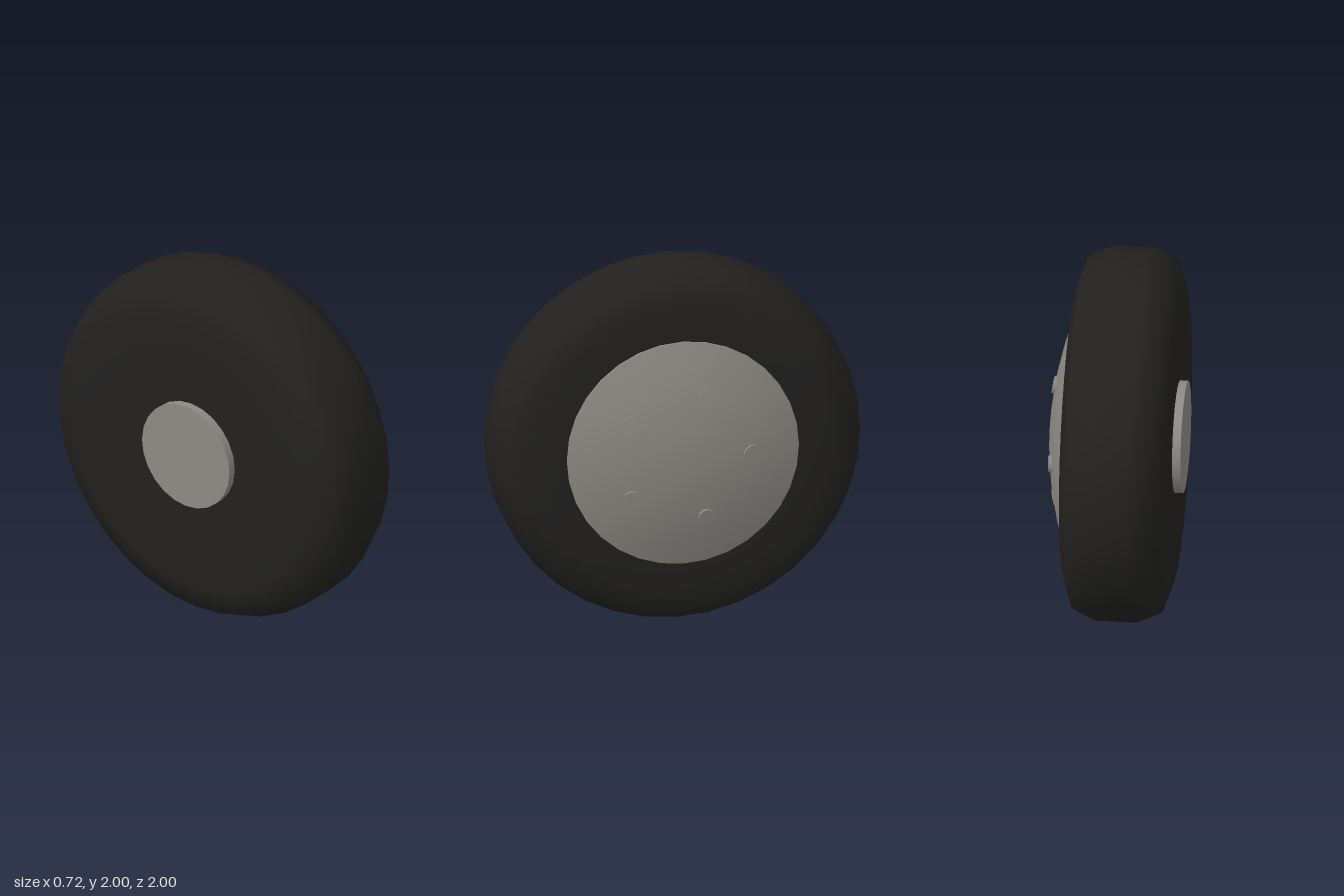
import * as THREE from 'three';
import { toCreasedNormals } from 'three/addons/utils/BufferGeometryUtils.js';

const rubber = new THREE.MeshStandardMaterial({ color: 0x222120 });
const metal = new THREE.MeshStandardMaterial({ color: 0x8c8a84 });

// Lathe around the x axis; points are [radius, x] with x rising
function turned(name, points, segments, material, crease) {
  let geo = new THREE.LatheGeometry(points.map(([r, x]) => new THREE.Vector2(r, x)), segments);
  geo.rotateZ(-Math.PI / 2);
  if (crease) geo = toCreasedNormals(geo, crease);
  const mesh = new THREE.Mesh(geo, material);
  mesh.name = name;
  return mesh;
}

export function createModel() {
  const wheel = new THREE.Group();
  wheel.name = 'wheel';
  const axle = new THREE.Group();
  axle.name = 'wheelAssembly';
  axle.position.y = 1;
  wheel.add(axle);

  // Tyre: half profile mirrored about its mid-plane
  const mid = -0.0425;
  const half = [[0, 0.2775], [0.6, 0.2775], [0.81, 0.2775], [0.945, 0.233], [1, 0.11]];
  const profile = [
    ...half.map(([r, d]) => [r, mid - d]),
    ...half.slice().reverse().map(([r, d]) => [r, mid + d]),
  ];
  axle.add(turned('tyre', profile, 36, rubber));

  // Domed hub cover with a thin straight rim
  const domeRadius = 1.86, domeTop = 0.357;
  const domeX = (r) => domeTop - domeRadius + Math.sqrt(domeRadius ** 2 - r ** 2);
  const cover = [[0.63, 0.2]];
  for (const r of [0.63, 0.5, 0.34, 0.17, 0]) cover.push([r, domeX(r)]);
  axle.add(turned('hubCover', cover, 32, metal, 0.6));

  // Inner hub on the back of the wheel
  const hubGeo = new THREE.CylinderGeometry(0.3, 0.3, 0.145, 24);
  hubGeo.rotateZ(Math.PI / 2);
  const hub = new THREE.Mesh(hubGeo, metal);
  hub.name = 'innerHub';
  hub.position.x = -0.2925;
  axle.add(hub);

  // Five wheel bolts standing square to the dome
  const boltGeo = new THREE.CylinderGeometry(0.047, 0.047, 0.05, 12);
  const up = new THREE.Vector3(0, 1, 0);
  const ring = 0.36;
  for (let i = 0; i < 5; i++) {
    const a = (i / 5) * Math.PI * 2;
    const y = Math.sin(a) * ring, z = -Math.cos(a) * ring;
    const normal = new THREE.Vector3(domeX(ring) - domeTop + domeRadius, y, z).normalize();
    const bolt = new THREE.Mesh(boltGeo, metal);
    bolt.name = 'bolt' + (i + 1);
    bolt.position.set(domeX(ring), y, z).addScaledVector(normal, -0.013);
    bolt.quaternion.setFromUnitVectors(up, normal);
    axle.add(bolt);
  }
  return wheel;
}
